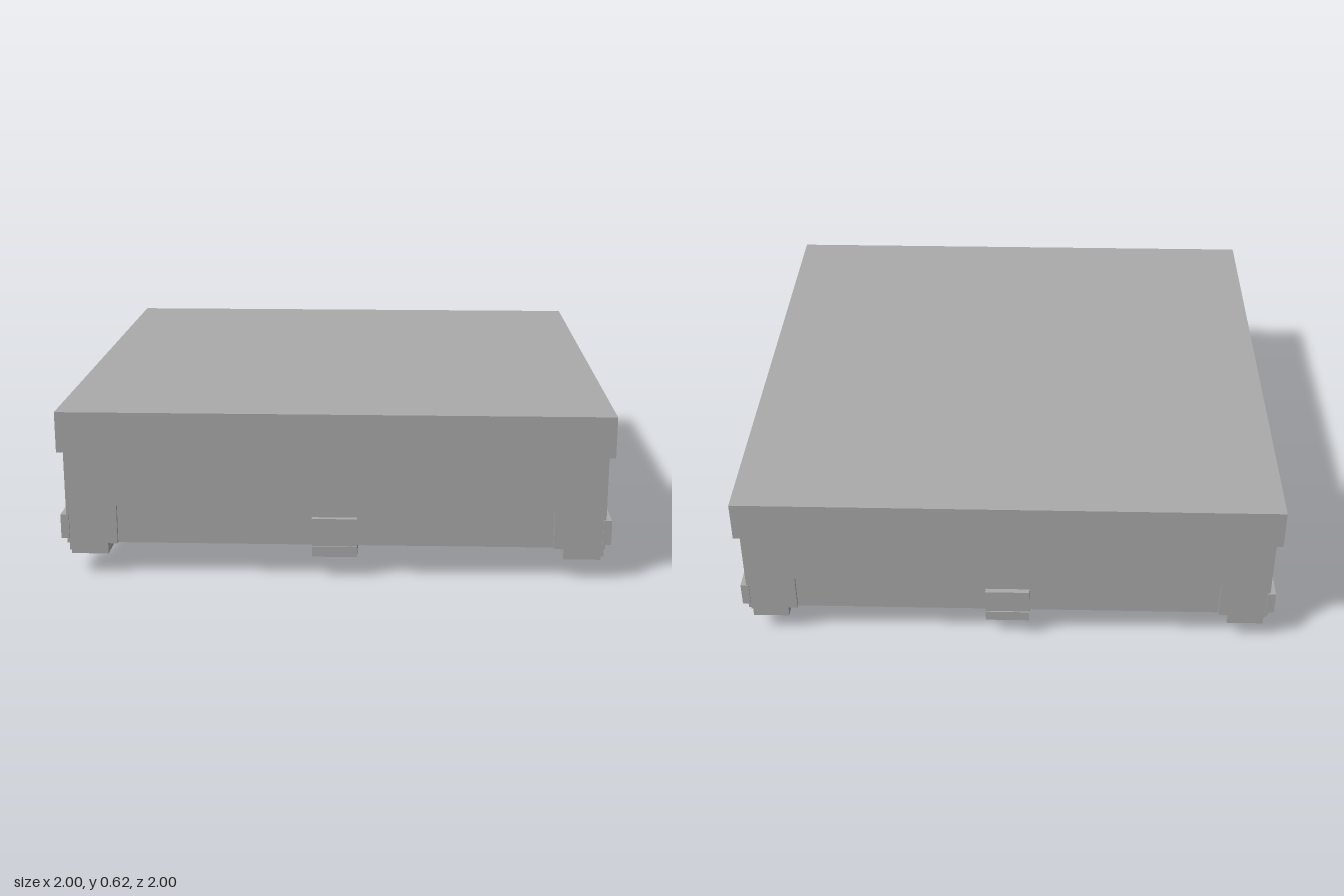
import * as THREE from 'three';

export function createModel() {
  const model = new THREE.Group();
  model.name = 'platform';
  const grey = new THREE.MeshStandardMaterial({ color: 0xaaaaaa });
  grey.name = 'plain grey';

  const add = (name, geometry, parent = model) => {
    const mesh = new THREE.Mesh(geometry, grey);
    mesh.name = name;
    parent.add(mesh);
    return mesh;
  };
  // Box given by its limits on each axis
  const box = (name, x0, x1, y0, y1, z0, z1, parent) =>
    add(name, new THREE.BoxGeometry(x1 - x0, y1 - y0, z1 - z0), parent)
      .position.set((x0 + x1) / 2, (y0 + y1) / 2, (z0 + z1) / 2);
  const rect = (Type, x0, x1, y0, y1) => {
    const s = new Type();
    s.moveTo(x0, y0).lineTo(x1, y0).lineTo(x1, y1).lineTo(x0, y1).closePath();
    return s;
  };
  // Flat outline raised from y0 to y1
  const slab = (shape, y0, y1) =>
    new THREE.ExtrudeGeometry(shape, { depth: y1 - y0, bevelEnabled: false })
      .rotateX(-Math.PI / 2).translate(0, y0, 0);

  // Top slab and body
  box('topSlab', -1, 1, 0.47, 0.62, -1, 1);
  box('body', -0.98, 0.98, 0.265, 0.47, -0.98, 0.98);

  // Underside frame: rim and cross ribs around four pockets
  const frame = rect(THREE.Shape, -0.967, 0.967, -0.967, 0.967);
  for (const sx of [-1, 1]) for (const sz of [-1, 1]) {
    const x = [0.08 * sx, 0.82 * sx].sort((a, b) => a - b);
    const z = [0.08 * sz, 0.82 * sz].sort((a, b) => a - b);
    frame.holes.push(rect(THREE.Path, x[0], x[1], z[0], z[1]));
  }
  add('underFrame', slab(frame, 0.12, 0.265));

  // Diagonal ribs with toothed sides
  const edge = [];
  const teeth = 24, start = 0.1, pitch = (1.13 - start) / teeth;
  for (let i = 0; i < teeth; i++) {
    edge.push([start + i * pitch, 0.078], [start + (i + 0.5) * pitch, 0.094]);
  }
  const outline = [...edge, ...edge.slice().reverse().map(([a, b]) => [a, -b])];
  const ribShape = new THREE.Shape(outline.map(([a, b]) => new THREE.Vector2(a, b)));
  const ribGeometry = slab(ribShape, 0.135, 0.265);
  for (let i = 0; i < 4; i++) {
    add('diagonalRib', ribGeometry).rotation.y = Math.PI / 4 + i * Math.PI / 2;
  }

  // Corner blocks, feet and side clips
  for (const sx of [-1, 1]) for (const sz of [-1, 1]) {
    const corner = new THREE.Group();
    corner.name = 'corner';
    const part = (name, x0, x1, y0, y1, z0, z1) => box(name,
      Math.min(x0 * sx, x1 * sx), Math.max(x0 * sx, x1 * sx), y0, y1,
      Math.min(z0 * sz, z1 * sz), Math.max(z0 * sz, z1 * sz), corner);
    part('cornerBlock', 0.795, 0.98, 0.12, 0.265, 0.795, 0.98);
    part('cornerFoot', 0.83, 0.98, 0.08, 0.12, 0.795, 0.945);
    part('cornerFootLip', 0.83, 0.965, 0.08, 0.12, 0.945, 0.98);
    part('cornerClip', 0.97, 1, 0.14, 0.23, 0.78, 0.985);
    model.add(corner);
  }

  // Block, foot and clip at the middle of each side
  for (let i = 0; i < 4; i++) {
    const middle = new THREE.Group();
    middle.name = 'sideMiddle';
    box('middleBlock', -0.082, 0.082, 0.12, 0.265, 0.82, 0.98, middle);
    box('middleFoot', -0.082, 0.082, 0.08, 0.12, 0.83, 0.985, middle);
    box('middleClip', -0.082, 0.082, 0.14, 0.23, 0.97, 1, middle);
    middle.rotation.y = i * Math.PI / 2;
    model.add(middle);
  }

  // Centre plate, octagonal ring and hanging loop
  box('centrePlate', -0.16, 0.16, 0.08, 0.12, -0.16, 0.16);
  const octagon = (Type, r) => new Type().setFromPoints(
    Array.from({ length: 9 }, (_, i) => {
      const a = (i + 0.5) * Math.PI / 4;
      return new THREE.Vector2(r * Math.cos(a), r * Math.sin(a));
    }));
  const ring = octagon(THREE.Shape, 0.108);
  ring.holes.push(octagon(THREE.Path, 0.075));
  add('centreRing', slab(ring, 0.063, 0.08));
  for (const s of [-1, 1]) {
    box('loopSide', s * 0.053 - 0.008, s * 0.053 + 0.008, 0.02, 0.08, -0.025, 0.025);
  }
  box('loopBase', -0.061, 0.061, 0, 0.02, -0.025, 0.025);

  return model;
}
